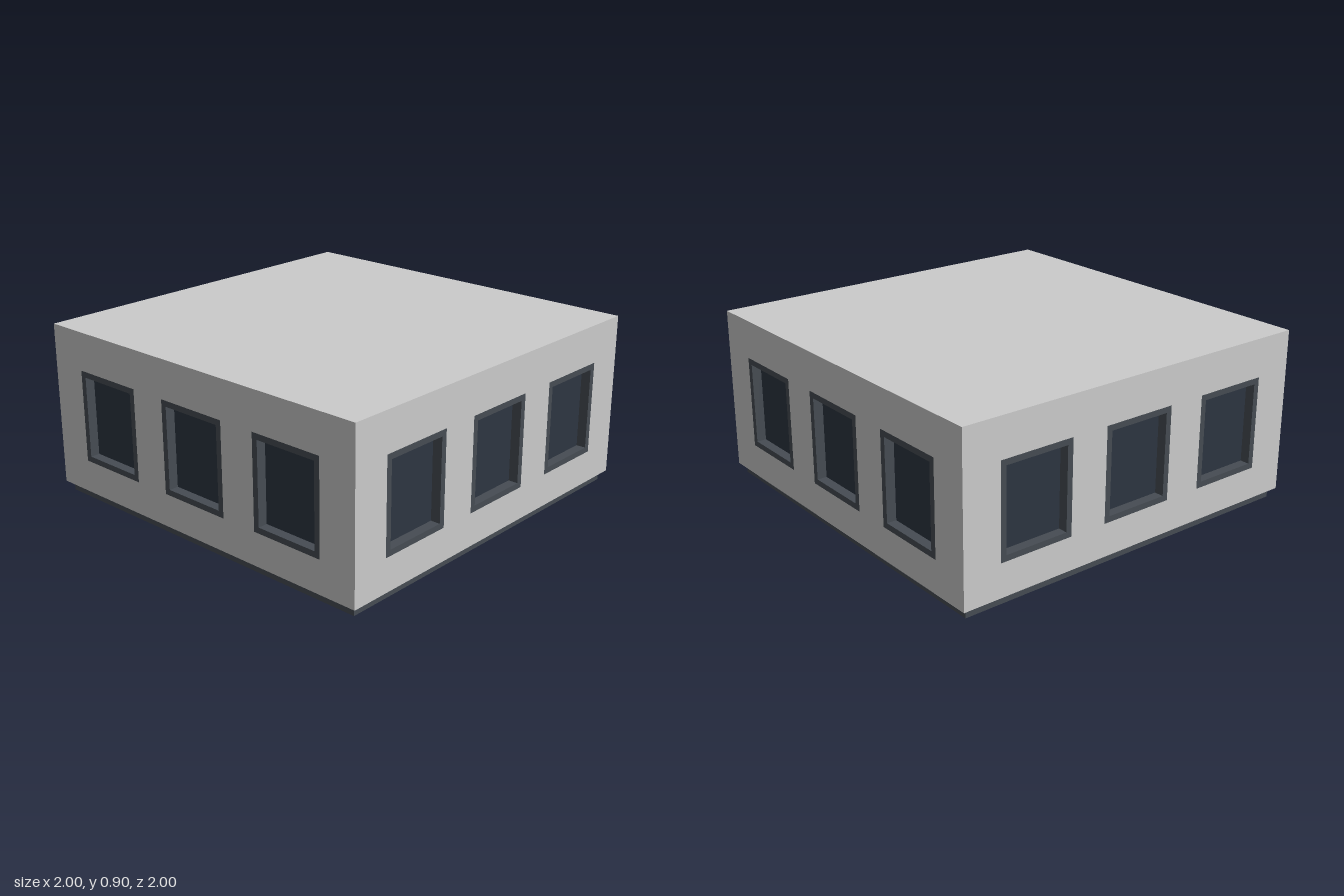
import * as THREE from 'three';

const BOTTOM = 0.05, TOP = 0.9, HALF = 1;
const WIN = { w: 0.4, y0: 0.22, y1: 0.7, border: 0.03, depth: 0.05 };
const WINDOW_X = [-0.6, 0, 0.6];

const wallMat = new THREE.MeshStandardMaterial({ color: 0xcccccc });
const frameMat = new THREE.MeshStandardMaterial({ color: 0x464c53 });
const glassMat = new THREE.MeshStandardMaterial({ color: 0x2d3541 });

function mesh(name, geometry, material) {
  const m = new THREE.Mesh(geometry, material);
  m.name = name;
  return m;
}

// Adds a rectangle to a Shape or Path
function rect(path, x0, y0, x1, y1) {
  path.moveTo(x0, y0);
  path.lineTo(x1, y0);
  path.lineTo(x1, y1);
  path.lineTo(x0, y1);
  path.closePath();
  return path;
}

// Flush frame ring with a recessed pane behind it
function createWindow(x) {
  const { w, y0, y1, border: b, depth } = WIN;
  const group = new THREE.Group();
  group.name = 'window';
  const ring = rect(new THREE.Shape(), -w / 2, y0, w / 2, y1);
  ring.holes.push(rect(new THREE.Path(), -w / 2 + b, y0 + b, w / 2 - b, y1 - b));
  const frame = mesh('windowFrame', new THREE.ExtrudeGeometry(ring, { depth, bevelEnabled: false }), frameMat);
  frame.position.z = HALF - depth;
  const glass = mesh('windowGlass', new THREE.PlaneGeometry(w - 2 * b, y1 - y0 - 2 * b), glassMat);
  glass.position.set(0, (y0 + y1) / 2, HALF - depth);
  group.add(frame, glass);
  group.position.x = x;
  return group;
}

// One facade: wall sheet with three openings and their windows
function createSide(name) {
  const side = new THREE.Group();
  side.name = name;
  const shape = rect(new THREE.Shape(), -HALF, BOTTOM, HALF, TOP);
  for (const x of WINDOW_X) {
    shape.holes.push(rect(new THREE.Path(), x - WIN.w / 2, WIN.y0, x + WIN.w / 2, WIN.y1));
    side.add(createWindow(x));
  }
  const wall = mesh('wall', new THREE.ShapeGeometry(shape), wallMat);
  wall.position.z = HALF;
  side.add(wall);
  return side;
}

export function createModel() {
  const model = new THREE.Group();
  model.name = 'buildingFloor';

  ['frontSide', 'leftSide', 'backSide', 'rightSide'].forEach((name, i) => {
    const side = createSide(name);
    side.rotation.y = i * Math.PI / 2;
    model.add(side);
  });

  // Roof and the underside that overhangs the plinth
  const roof = mesh('roof', new THREE.PlaneGeometry(2 * HALF, 2 * HALF), wallMat);
  roof.rotation.x = -Math.PI / 2;
  roof.position.y = TOP;
  const underside = mesh('underside', new THREE.PlaneGeometry(2 * HALF, 2 * HALF), wallMat);
  underside.rotation.x = Math.PI / 2;
  underside.position.y = BOTTOM;

  // Dark recessed plinth
  const plinth = mesh('plinth', new THREE.BoxGeometry(1.94, BOTTOM, 1.94), frameMat);
  plinth.position.y = BOTTOM / 2;

  model.add(roof, underside, plinth);
  return model;
}
